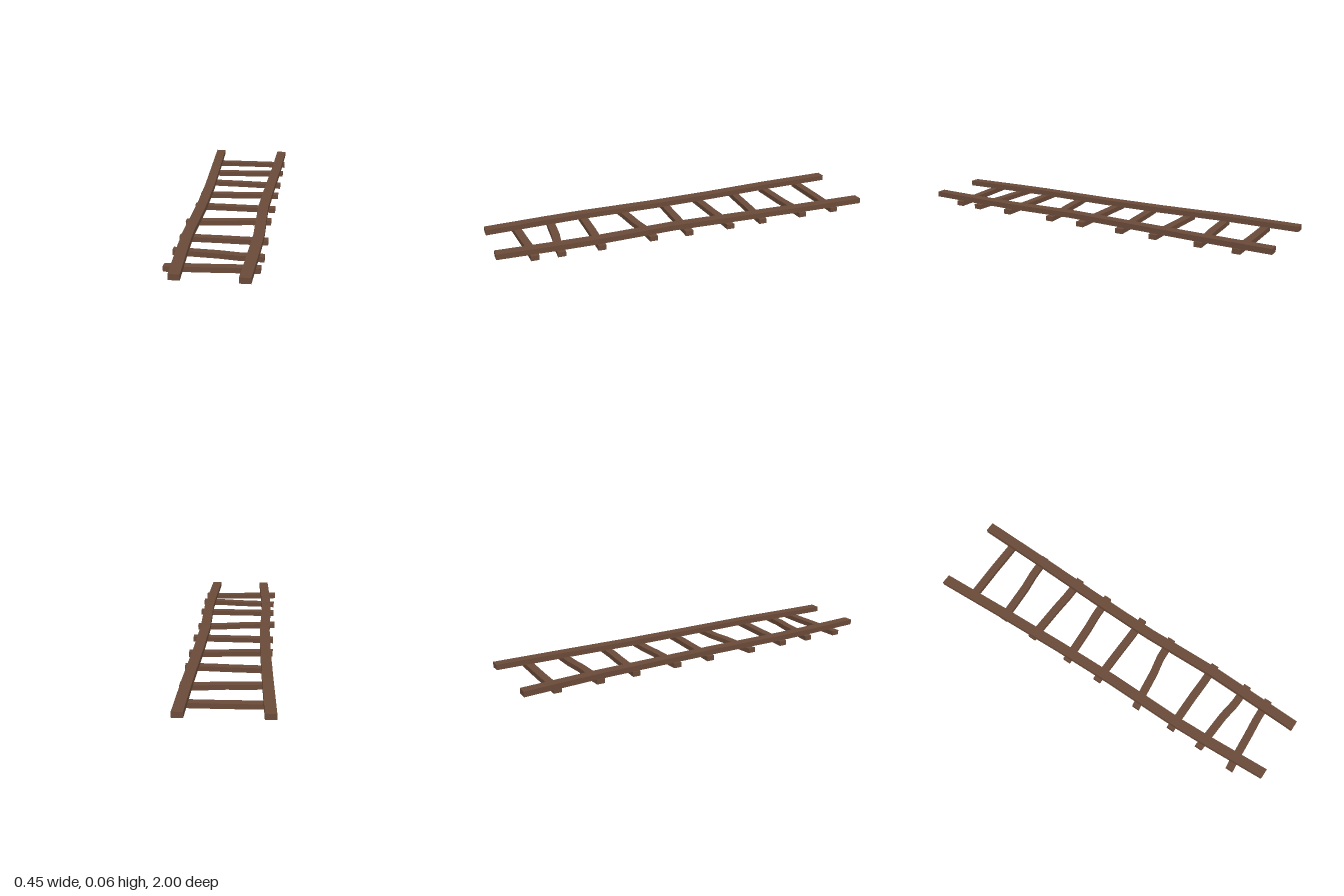
import * as THREE from 'three';

// Square-cut timber swept through stations [x, yCentre, z]; cuts face the given axis
function timber(name, stations, width, height, axis, material) {
  const positions = [];
  const rings = stations.map(([x, y, z]) =>
    [[-1, -1], [1, -1], [1, 1], [-1, 1]].map(([s, t]) => {
      const o = (s * width) / 2;
      const yy = y + (t * height) / 2;
      return axis === 'z' ? [x + o, yy, z] : [x, yy, z - o];
    }));
  const quad = (a, b, c, d) => positions.push(...a, ...b, ...c, ...a, ...c, ...d);
  for (let i = 0; i < rings.length - 1; i++) {
    const p = rings[i], q = rings[i + 1];
    for (let k = 0; k < 4; k++) {
      const n = (k + 1) % 4;
      quad(p[k], p[n], q[n], q[k]);
    }
  }
  const first = rings[0], last = rings[rings.length - 1];
  quad(first[3], first[2], first[1], first[0]);
  quad(...last);
  const geometry = new THREE.BufferGeometry();
  geometry.setAttribute('position', new THREE.Float32BufferAttribute(positions, 3));
  geometry.computeVertexNormals();
  const mesh = new THREE.Mesh(geometry, material);
  mesh.name = name;
  return mesh;
}

export function createModel() {
  const group = new THREE.Group();
  group.name = 'ladder';
  const wood = new THREE.MeshStandardMaterial({ color: 0x6b4b39, flatShading: true });
  wood.name = 'brownWood';

  // Two slightly crooked side rails, running back to front
  const rightRail = [
    [-0.203, 0.038, -1], [-0.184, 0.042, -0.62], [-0.168, 0.039, -0.25],
    [-0.16, 0.038, 0.08], [-0.162, 0.038, 0.5], [-0.155, 0.038, 0.68], [-0.137, 0.038, 1],
  ];
  const leftRail = [
    [0.191, 0.038, -1], [0.184, 0.038, -0.62], [0.172, 0.039, -0.25],
    [0.165, 0.042, 0.1], [0.177, 0.039, 0.5], [0.173, 0.038, 0.7], [0.165, 0.038, 1],
  ];
  group.add(timber('rightRail', rightRail, 0.052, 0.028, 'z', wood));
  group.add(timber('leftRail', leftRail, 0.052, 0.028, 'z', wood));

  // Rungs under the rails: z at the right end, middle and left end, then x shift
  const rungs = [
    [-0.828, -0.831, -0.83, 0], [-0.608, -0.62, -0.636, 0], [-0.415, -0.405, -0.396, 0],
    [-0.182, -0.195, -0.208, 0], [0.014, 0.019, 0.023, 0], [0.268, 0.24, 0.215, -0.007],
    [0.48, 0.482, 0.487, 0], [0.653, 0.67, 0.69, -0.001], [0.844, 0.83, 0.82, -0.007],
  ];
  rungs.forEach(([right, middle, left, shift], i) => {
    const near = right + (middle - right) * 0.45;
    const far = left + (middle - left) * 0.3;
    const path = [[-0.205, right], [-0.125, near], [0.01, middle], [0.1, far], [0.222, left]]
      .map(([x, z]) => [x + shift, 0.0125, z]);
    group.add(timber(`rung${i + 1}`, path, 0.041, 0.025, 'x', wood));
  });
  return group;
}
